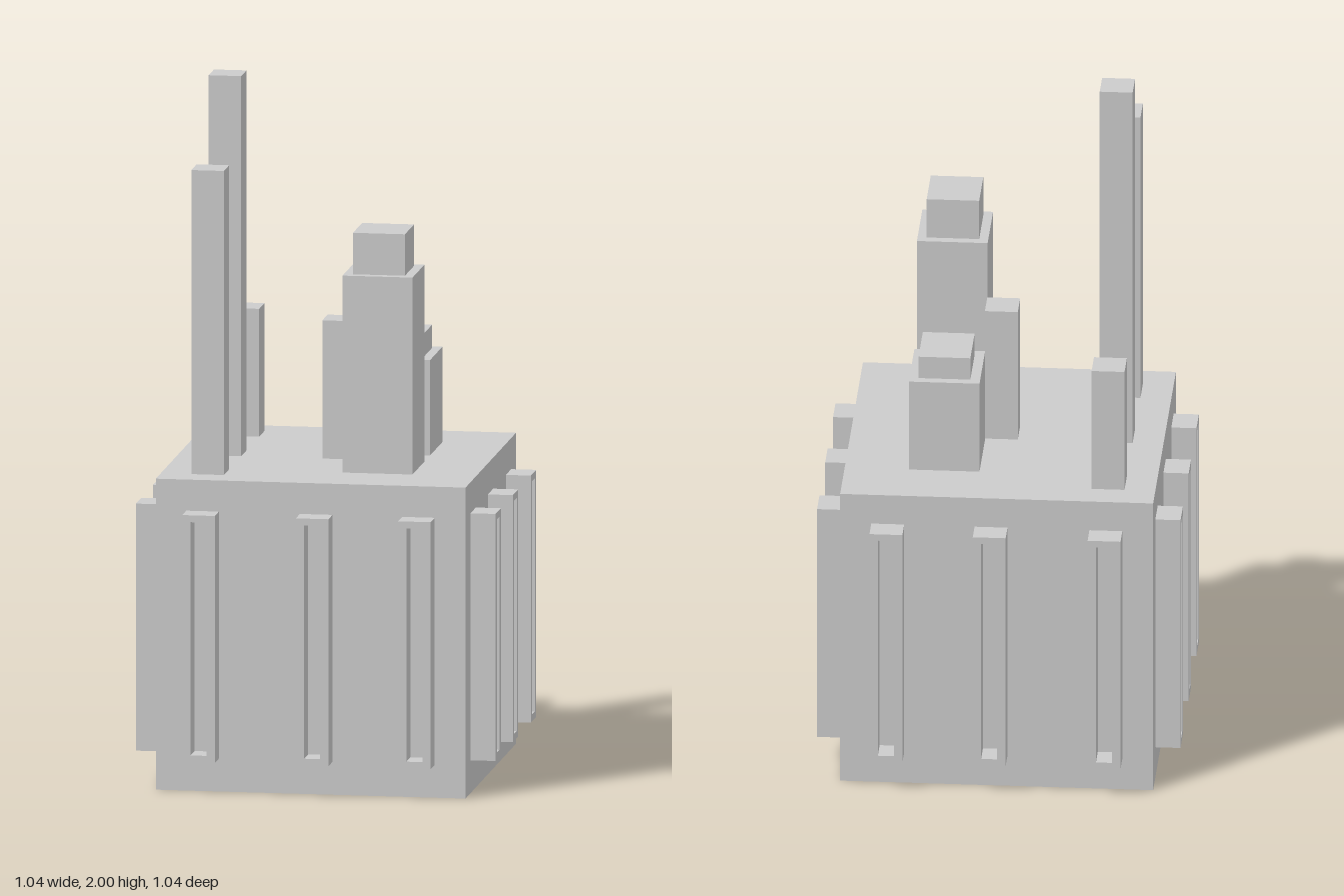
import * as THREE from 'three';

const material = new THREE.MeshStandardMaterial({ color: 0xcccccc, flatShading: true });

const HALF = 0.447;      // half width of the main block
const ROOF = 0.9;        // height of the main block
const SLOT_X = [-0.312, 0.016, 0.311];
const SLOT_Z = [-0.314, 0.004, 0.311];
const POST = 0.094;      // width of posts and window frames

// Box given by its x, y and z ranges
function block(name, [x0, x1], [y0, y1], [z0, z1]) {
  const mesh = new THREE.Mesh(new THREE.BoxGeometry(x1 - x0, y1 - y0, z1 - z0), material);
  mesh.position.set((x0 + x1) / 2, (y0 + y1) / 2, (z0 + z1) / 2);
  mesh.name = name;
  return mesh;
}

function rectPath(PathType, w, h) {
  return new PathType([
    new THREE.Vector2(-w / 2, -h / 2), new THREE.Vector2(w / 2, -h / 2),
    new THREE.Vector2(w / 2, h / 2), new THREE.Vector2(-w / 2, h / 2),
  ]);
}

// Tall hollow window frame, open towards the wall
function frameGeometry() {
  const shape = rectPath(THREE.Shape, POST, 0.715);
  shape.holes.push(rectPath(THREE.Path, 0.046, 0.675));
  return new THREE.ExtrudeGeometry(shape, { depth: 0.072, bevelEnabled: false });
}

export function createModel() {
  const model = new THREE.Group();
  model.name = 'towerBlock';

  // Main block
  model.add(block('mainBlock', [-HALF, HALF], [0, ROOF], [-HALF, HALF]));

  // Three window frames on each wall
  const geometry = frameGeometry();
  const addFrame = (name, x, z, angle) => {
    const frame = new THREE.Mesh(geometry, material);
    frame.name = name;
    frame.position.set(x, 0.4525, z);
    frame.rotation.y = angle;
    model.add(frame);
  };
  for (const x of SLOT_X) {
    addFrame('frontWindowFrame', x, HALF, 0);
    addFrame('backWindowFrame', x, -HALF, Math.PI);
  }
  for (const z of SLOT_Z) {
    addFrame('leftWindowFrame', HALF, z, Math.PI / 2);
    addFrame('rightWindowFrame', -HALF, z, -Math.PI / 2);
  }

  // Slim roof posts: x, z, top
  const posts = [
    [SLOT_X[0], SLOT_Z[0], 1.27],
    [SLOT_X[0], SLOT_Z[1], 2],
    [SLOT_X[0], SLOT_Z[2], 1.78],
    [SLOT_X[1], SLOT_Z[1], 1.3],
  ];
  const r = POST / 2;
  for (const [x, z, top] of posts) {
    model.add(block('roofPost', [x - r, x + r], [ROOF, top], [z - r, z + r]));
  }

  // Stepped roof towers
  model.add(block('frontTower', [0.062, 0.264], [ROOF, 1.47], [0.051, 0.264]));
  model.add(block('frontTowerCap', [0.088, 0.238], [1.47, 1.59], [0.077, 0.238]));
  model.add(block('backTower', [0.062, 0.264], [ROOF, 1.176], [-0.268, -0.047]));
  model.add(block('backTowerCap', [0.09, 0.238], [1.176, 1.243], [-0.242, -0.074]));

  return model;
}
